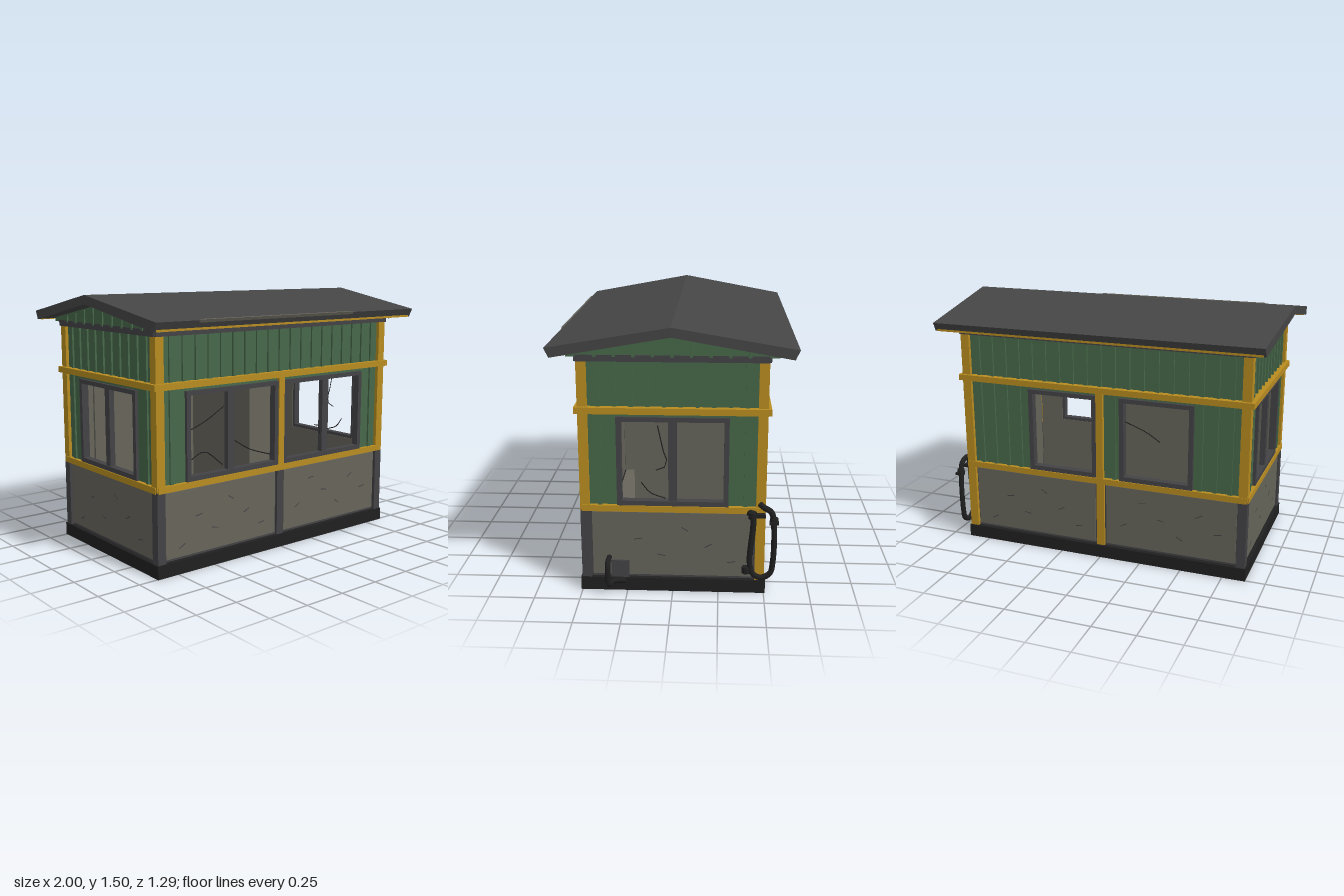
import * as THREE from 'three';

const mat = (name, color) => {
  const m = new THREE.MeshStandardMaterial({ color });
  m.name = name;
  return m;
};

export function createModel() {
  const green = mat('green siding', 0x47684a);
  const yellow = mat('yellow trim', 0xb88c20);
  const grey = mat('grey panel', 0x66645a);
  const dark = mat('dark frame', 0x434346);
  const roofMat = mat('roof sheet', 0x454545);
  const black = mat('black base', 0x202020);

  const model = new THREE.Group();
  model.name = 'cabin';

  const add = (parent, name, geo, material) => {
    const m = new THREE.Mesh(geo, material);
    m.name = name;
    parent.add(m);
    return m;
  };
  // box given by its limits
  const box = (parent, name, material, x0, x1, y0, y1, z0, z1) => {
    const m = add(parent, name, new THREE.BoxGeometry(x1 - x0, y1 - y0, z1 - z0), material);
    m.position.set((x0 + x1) / 2, (y0 + y1) / 2, (z0 + z1) / 2);
    return m;
  };
  const rectPath = (P, x0, x1, y0, y1) => {
    const p = new P();
    p.moveTo(x0, y0);
    p.lineTo(x1, y0);
    p.lineTo(x1, y1);
    p.lineTo(x0, y1);
    p.closePath();
    return p;
  };
  // flat sheet with rectangular openings, from z0 to z1
  const sheet = (parent, name, material, r, holes, z0, z1) => {
    const s = rectPath(THREE.Shape, ...r);
    holes.forEach(h => s.holes.push(rectPath(THREE.Path, ...h)));
    const g = new THREE.ExtrudeGeometry(s, { depth: z1 - z0, bevelEnabled: false });
    return add(parent, name, g.translate(0, 0, z0), material);
  };
  const tube = (parent, name, material, pts, r, seg = 32, sides = 8) => add(parent, name,
    new THREE.TubeGeometry(new THREE.CatmullRomCurve3(pts.map(p => new THREE.Vector3(...p)), false, 'centripetal'),
      seg, r, sides), material);

  // One wall in its own frame: +z is outward, z = 0 is the siding surface
  function wall(name, half, dist, turn, o) {
    const g = new THREE.Group();
    g.name = name;
    g.rotation.y = turn;
    g.position.set(Math.sin(turn) * dist, 0, Math.cos(turn) * dist);
    model.add(g);
    const holes = o.windows.map(w => [w[0] + 0.01, w[1] - 0.01, 0.51, 0.98]);
    sheet(g, 'siding', green, [-half, half, 0.49, 1.33], holes, -0.02, 0);
    sheet(g, 'lining', grey, [-half + 0.03, half - 0.03, 0.06, 1.33], holes, -0.03, -0.0201);
    box(g, 'lowerWall', dark, -half, half, 0.06, 0.49, -0.02, 0);

    // vertical ribs, interrupted by the windows
    const n = Math.round(half * 2 / 0.085);
    for (let i = 1; i < n; i++) {
      const u = -half + i * 2 * half / n;
      const blocked = o.windows.some(w => u > w[0] - 0.015 && u < w[1] + 0.015);
      box(g, 'rib', green, u - 0.011, u + 0.011, blocked ? 1.04 : 0.49, 1.32, 0, 0.011);
    }
    // window frames and mullions
    o.windows.forEach(([a, b, bars]) => {
      sheet(g, 'windowFrame', dark, [a, b, 0.5, 1.0], [[a + 0.027, b - 0.027, 0.53, 0.975]], -0.025, 0.018);
      bars.forEach(u => box(g, 'mullion', dark, u - 0.023, u + 0.023, 0.52, 0.985, -0.02, 0.012));
    });
    // lower plates with shallow scratches
    o.panels.forEach(([a, b], k) => {
      box(g, 'lowerPlate', grey, a, b, 0.09, 0.46, 0, 0.008);
      for (let i = 0; i < 6; i++) {
        const s = box(g, 'scratch', dark, 0, 0.045, 0, 0.005, 0.008, 0.01);
        s.position.x = a + (b - a) * (0.14 + 0.145 * i);
        s.position.y = 0.15 + 0.25 * ((i * 0.62 + k * 0.3) % 1);
        s.rotation.z = 0.5 - 0.35 * (i % 4);
      }
    });
    // cracks left in the openings
    (o.cracks || []).forEach(c => tube(g, 'crack', black, c.map(p => [p[0], p[1], -0.005]), 0.003, 6, 4));
    // rails and centre post
    box(g, 'sillRail', yellow, -half - 0.01, half + 0.01, 0.468, 0.503, -0.01, 0.024);
    box(g, 'headRail', yellow, -half - 0.035, half + 0.035, 1.02, 1.055, -0.01, 0.038);
    box(g, 'topTrim', dark, -half - 0.02, half + 0.02, 1.3, 1.335, -0.02, 0.03);
    if (o.post) {
      box(g, 'centrePost', yellow, -0.021, 0.021, 0.5, 1.03, -0.01, 0.023);
      box(g, 'lowerCentrePost', o.post, -0.024, 0.024, 0.07, 0.47, 0, 0.015);
    }
  }

  const halves = [[-0.82, -0.035], [0.035, 0.82]];
  wall('frontWall', 0.86, 0.48, 0, {
    windows: [[-0.68, -0.022, [-0.37]], [0.022, 0.68, [0.365]]],
    panels: halves, post: dark,
    cracks: [[[-0.65, 0.78], [-0.54, 0.82], [-0.41, 0.89]], [[-0.65, 0.61], [-0.55, 0.65], [-0.42, 0.56]],
      [[-0.34, 0.69], [-0.22, 0.62], [-0.07, 0.57]], [[0.34, 0.64], [0.33, 0.69], [0.29, 0.7]]],
  });
  wall('backWall', 0.86, 0.48, Math.PI, {
    windows: [[-0.45, -0.022, []], [0.12, 0.56, []]],
    panels: halves, post: yellow,
    cracks: [[[0.15, 0.86], [0.28, 0.81], [0.36, 0.76]]],
  });
  const side = { windows: [[-0.3, 0.3, [0]]], panels: [[-0.44, 0.44]] };
  wall('pipeSideWall', 0.48, 0.86, Math.PI / 2, {
    ...side, cracks: [[[0.06 - 0.14, 0.95], [-0.05, 0.81], [-0.03, 0.73], [-0.09, 0.7]], [[-0.17, 0.63], [-0.12, 0.57], [-0.04, 0.54]]],
  });
  wall('plainSideWall', 0.48, 0.86, -Math.PI / 2, side);

  // Corner posts: yellow above, dark below except the corner beside the hose
  for (const sx of [-1, 1]) for (const sz of [-1, 1]) {
    const x = sx * 0.853, z = sz * 0.475, h = 0.026;
    box(model, 'cornerPost', yellow, x - h, x + h, 0.47, 1.305, z - h, z + h);
    box(model, 'lowerCornerPost', sx > 0 && sz < 0 ? yellow : dark, x - h, x + h, 0.06, 0.475, z - h, z + h);
  }

  // Base slab and inner partitions
  box(model, 'base', black, -0.885, 0.885, 0, 0.075, -0.508, 0.508);
  box(model, 'floor', grey, -0.82, 0.82, 0.075, 0.08, -0.44, 0.44);
  box(model, 'longPartition', grey, -0.8, -0.06, 0.08, 0.965, -0.28, -0.265);
  box(model, 'crossPartition', grey, -0.075, -0.06, 0.08, 0.965, -0.265, 0.3);

  // Gable ends
  for (const sx of [-1, 1]) {
    const s = new THREE.Shape([[-0.55, 1.325], [0.55, 1.325], [0.55, 1.35], [0, 1.46], [-0.55, 1.35]]
      .map(p => new THREE.Vector2(...p)));
    const g = new THREE.ExtrudeGeometry(s, { depth: 0.03, bevelEnabled: false });
    g.translate(0, 0, -0.015).rotateY(Math.PI / 2);
    add(model, 'gable', g, green).position.x = sx * 0.872;
    for (let i = -4; i <= 4; i++) {
      const z = i * 0.1;
      box(model, 'gableRib', green, sx * 0.89 - 0.005, sx * 0.89 + 0.005, 1.325, 1.445 - Math.abs(z) * 0.2, z - 0.008, z + 0.008);
    }
  }

  // Pitched roof whose ends bow out towards the ridge
  const rs = new THREE.Shape([[-0.645, 1.385], [-0.62, 1.335], [0, 1.45], [0.62, 1.335], [0.645, 1.385], [0, 1.5]]
    .map(p => new THREE.Vector2(...p)));
  const rg = new THREE.ExtrudeGeometry(rs, { depth: 2, bevelEnabled: false });
  rg.translate(0, 0, -1).rotateY(Math.PI / 2);
  const rp = rg.attributes.position;
  for (let i = 0; i < rp.count; i++) rp.setX(i, rp.getX(i) * (1 - 0.05 * Math.abs(rp.getZ(i))));
  rg.computeVertexNormals();
  add(model, 'roof', rg, roofMat);
  for (const sz of [-1, 1]) {
    box(model, 'eaveStrip', yellow, -0.955, 0.955, 1.335, 1.366, sz * 0.612 - 0.014, sz * 0.612 + 0.014);
  }
  const worn = box(model, 'wornEdge', grey, -0.7, 0.43, -0.009, 0.009, -0.003, 0.003);
  worn.position.set(-0.135, 1.382, 0.643);
  worn.rotation.x = 0.46;

  // Drain pipe and its wall plate
  box(model, 'drainPlate', dark, 0.868, 0.876, 0.06, 0.175, 0.24, 0.34);
  tube(model, 'drainPipe', black, [[0.86, 0.19, 0.35], [0.93, 0.195, 0.35], [0.95, 0.18, 0.35], [0.95, 0.08, 0.35],
    [0.94, 0.06, 0.345], [0.9, 0.06, 0.33], [0.885, 0.06, 0.26]], 0.015, 40);

  // Hose hanging at the rear corner, with couplings
  tube(model, 'hose', black, [[0.87, 0.47, -0.41], [0.9, 0.48, -0.43], [0.905, 0.42, -0.435], [0.905, 0.2, -0.42],
    [0.905, 0.13, -0.435], [0.905, 0.105, -0.48], [0.905, 0.13, -0.53], [0.905, 0.2, -0.545],
    [0.905, 0.42, -0.545], [0.905, 0.49, -0.53], [0.9, 0.515, -0.49], [0.88, 0.525, -0.47]], 0.016, 80);
  [[0.47, -0.43], [0.15, -0.4], [0.44, -0.545]].forEach(([y, z]) => {
    add(model, 'hoseCoupling', new THREE.CylinderGeometry(0.023, 0.023, 0.035, 10), black).position.set(0.905, y, z);
  });
  box(model, 'hoseBracket', black, 0.86, 0.91, 0.455, 0.475, -0.5, -0.43);
  box(model, 'hoseLever', black, 0.9, 0.93, 0.425, 0.44, -0.57, -0.52);

  return model;
}
